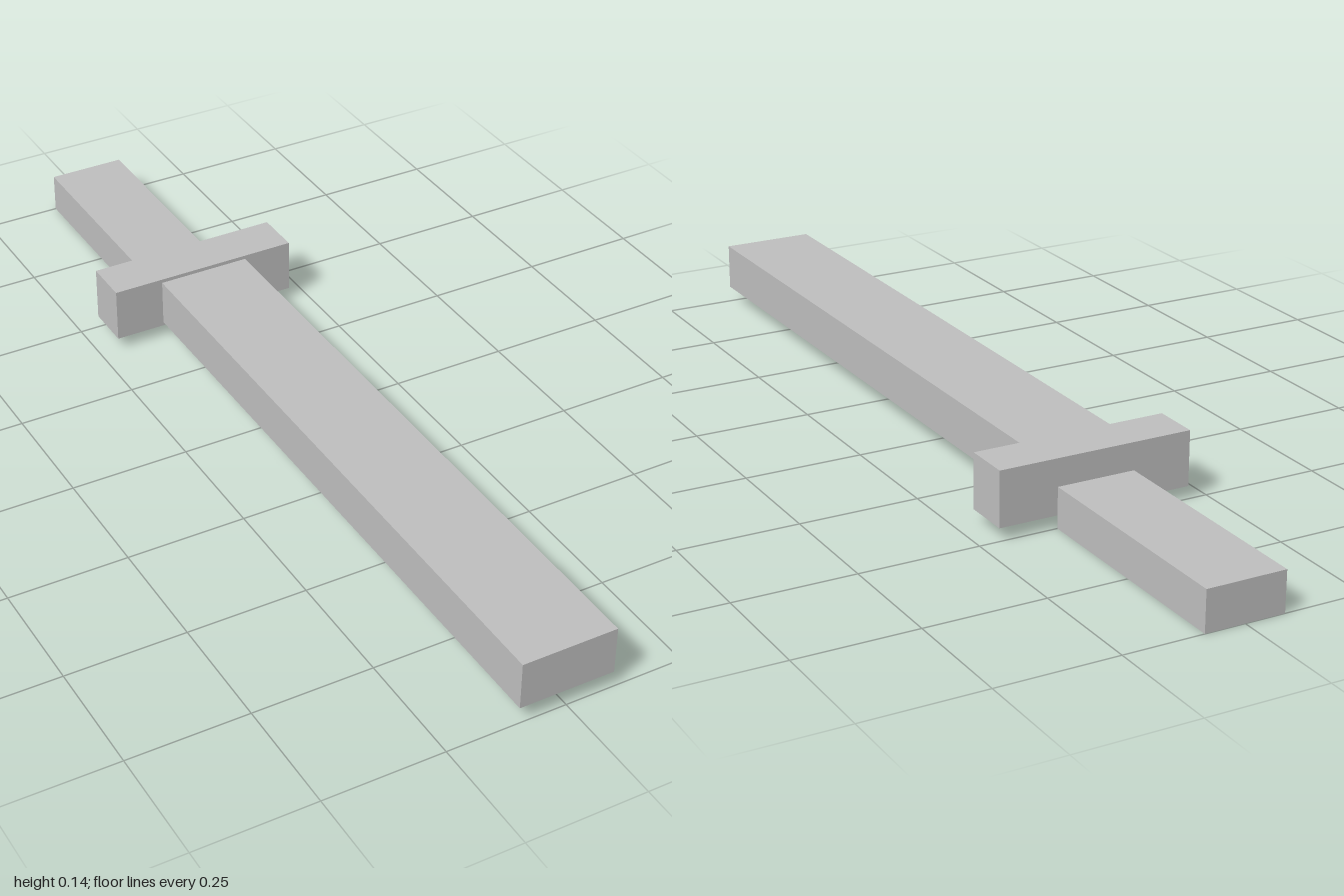
import * as THREE from 'three';

export function createModel() {
  const model = new THREE.Group();
  model.name = 'sword';

  const grey = new THREE.MeshStandardMaterial({ color: 0xbfbfbf });
  grey.name = 'grey';

  // Box centred on x, given by its width and its y and z extents
  function addBlock(name, width, [y0, y1], [z0, z1]) {
    const mesh = new THREE.Mesh(new THREE.BoxGeometry(width, y1 - y0, z1 - z0), grey);
    mesh.name = name;
    mesh.position.set(0, (y0 + y1) / 2, (z0 + z1) / 2);
    model.add(mesh);
  }

  // Long blade pointing forward
  addBlock('blade', 0.2, [0.035, 0.135], [-0.4, 1]);
  // Crossguard, slightly taller than the blade
  addBlock('crossguard', 0.416, [0.027, 0.143], [-0.5, -0.4]);
  // Grip, set lower than the blade
  addBlock('grip', 0.167, [0, 0.085], [-1, -0.5]);

  return model;
}
